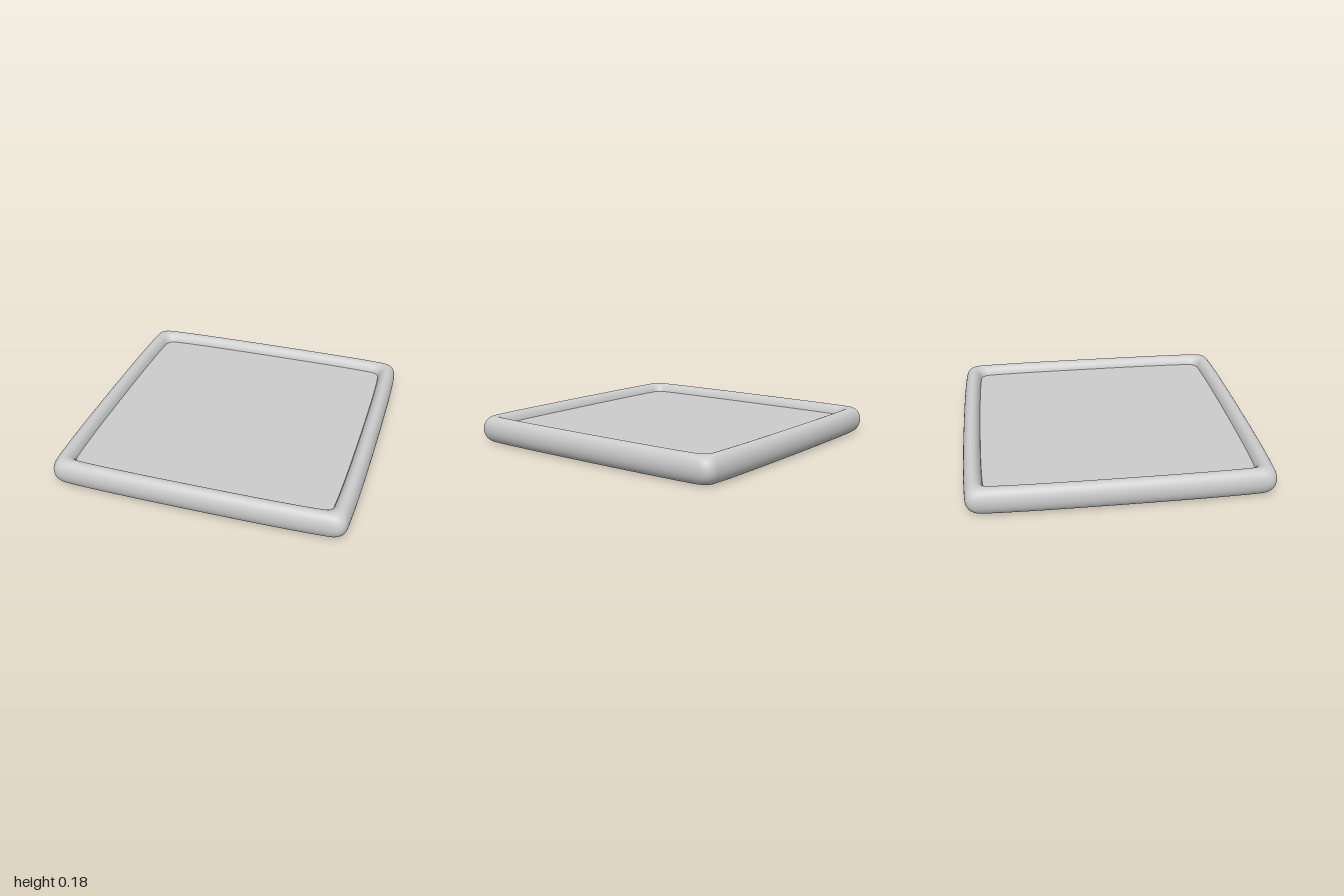
import * as THREE from 'three';
import { mergeVertices } from 'three/addons/utils/BufferGeometryUtils.js';

const MID_Y = 0.09;   // half the height of the rim
const CENTRE = 0.94;  // rim centreline at the middle of a side
const HALF_W = 0.06;  // half the width of the rim
const PANEL_T = 0.06; // panel thickness

// Square outline with slightly bowed sides and small rounded corners
function outlinePoints() {
  const path = new THREE.Path();
  path.moveTo(0, CENTRE);
  for (let k = 0; k < 4; k++) {
    // quarter turns, from +y towards +x
    const c = Math.round(Math.cos(k * Math.PI / 2)), s = Math.round(Math.sin(k * Math.PI / 2));
    const p = (x, y) => [x * c + y * s, -x * s + y * c];
    path.bezierCurveTo(...p(0.4, CENTRE), ...p(0.7, 0.936), ...p(0.85, 0.925));
    path.quadraticCurveTo(...p(0.921, 0.921), ...p(0.925, 0.85));
    path.bezierCurveTo(...p(0.936, 0.7), ...p(CENTRE, 0.4), ...p(CENTRE, 0));
  }
  return path.getPoints(14);
}

// Oval section turned into a ring, then pulled onto the square outline
function rimGeometry(outline) {
  const profile = [];
  const sides = 40;
  for (let j = 0; j <= sides; j++) {
    const a = (j / sides) * Math.PI * 2;
    profile.push(new THREE.Vector2(1 + (HALF_W / CENTRE) * Math.cos(a), MID_Y + MID_Y * Math.sin(a)));
  }
  const lathe = new THREE.LatheGeometry(profile, outline.length - 1);
  const pos = lathe.attributes.position;
  for (let i = 0; i < pos.count; i++) {
    const o = outline[Math.floor(i / profile.length)];
    const r = profile[i % profile.length].x;
    pos.setX(i, o.x * r);
    pos.setZ(i, o.y * r);
  }
  // Weld the seams so the shading runs smoothly around
  lathe.deleteAttribute('normal');
  lathe.deleteAttribute('uv');
  const geometry = mergeVertices(lathe, 1e-4);
  geometry.computeVertexNormals();
  return geometry;
}

export function createModel() {
  const group = new THREE.Group();
  group.name = 'framedPanel';
  const material = new THREE.MeshStandardMaterial({ color: 0xcccccc });
  const outline = outlinePoints();

  // Rounded rim
  const rim = new THREE.Mesh(rimGeometry(outline), material);
  rim.name = 'rim';
  group.add(rim);

  // Flat slab at half height, its edge buried in the rim
  const shape = new THREE.Shape(outline.slice(0, -1).map((p) => p.clone().multiplyScalar(0.96)));
  const slab = new THREE.ExtrudeGeometry(shape, { depth: PANEL_T, bevelEnabled: false });
  const panel = new THREE.Mesh(slab.rotateX(-Math.PI / 2), material);
  panel.name = 'panel';
  panel.position.y = MID_Y - PANEL_T / 2;
  group.add(panel);

  return group;
}
